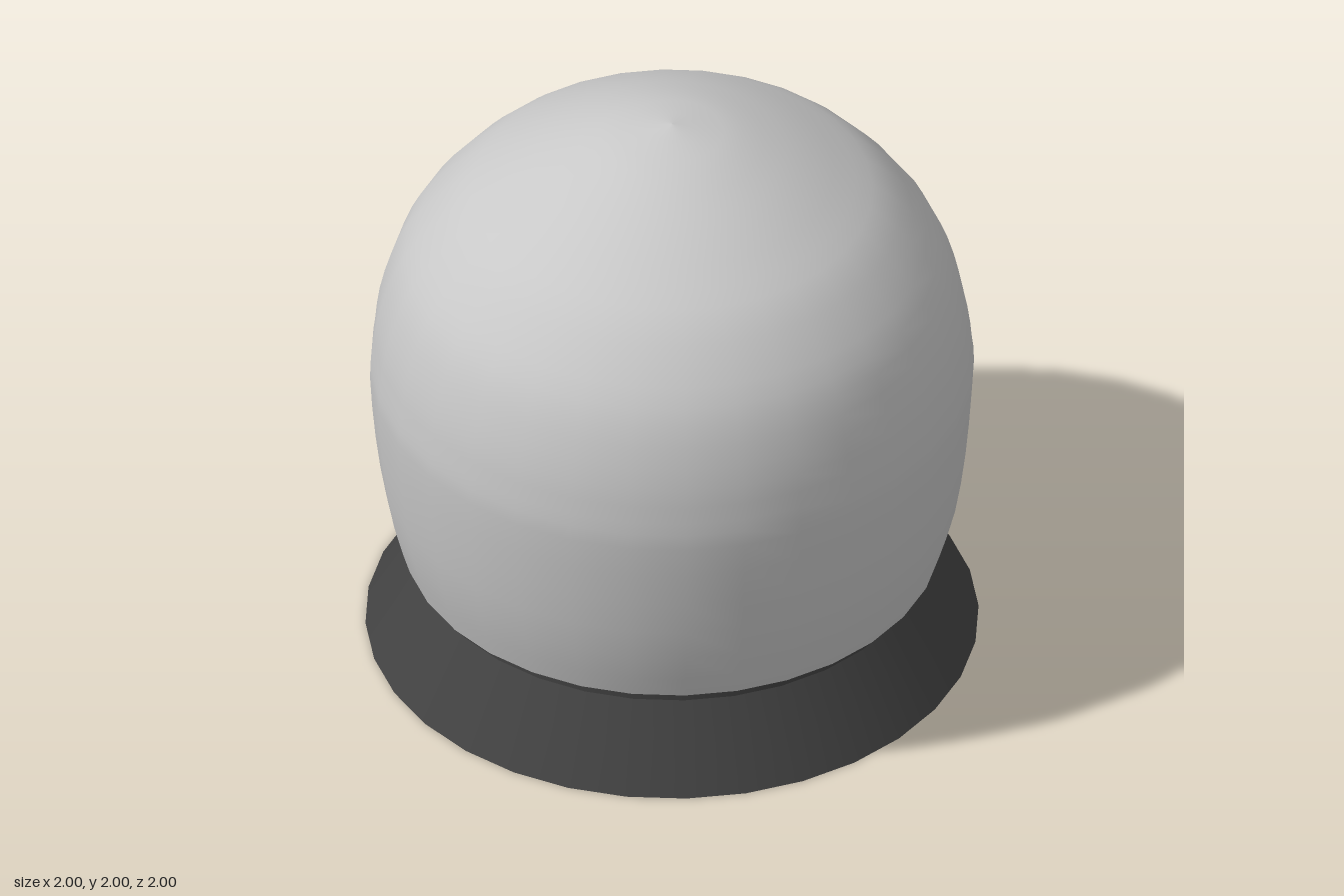
import * as THREE from 'three';

const SEGMENTS = 32;
const v = (x, y) => new THREE.Vector2(x, y);

export function createModel() {
  const group = new THREE.Group();

  const shellGrey = new THREE.MeshStandardMaterial({ color: 0xc8c8c8, side: THREE.DoubleSide });
  shellGrey.name = 'light grey shell';
  const baseGrey = new THREE.MeshStandardMaterial({ color: 0x424242, side: THREE.DoubleSide });
  baseGrey.name = 'dark grey base';

  const add = (name, geometry, material) => {
    const mesh = new THREE.Mesh(geometry, material);
    mesh.name = name;
    group.add(mesh);
    return mesh;
  };
  const lathe = (points) => new THREE.LatheGeometry(points, SEGMENTS);

  // Bulbous dome with a slightly pointed crown, open at the lower rim
  const profile = new THREE.SplineCurve([
    v(0.88, 0.33), v(0.932, 0.52), v(0.967, 0.76), v(0.985, 1.0),
    v(0.978, 1.1), v(0.963, 1.225), v(0.925, 1.37), v(0.872, 1.49),
    v(0.79, 1.6), v(0.7, 1.695), v(0.6, 1.765), v(0.45, 1.855),
    v(0.3, 1.925), v(0.17, 1.97), v(0, 2),
  ]);
  const points = profile.getPoints(28);
  points[points.length - 1].set(0, 2);
  add('dome', lathe(points), shellGrey);

  // Flared base and the short collar that enters the dome
  add('baseFlare', lathe([v(1, 0), v(0.84, 0.28)]), baseGrey);
  add('baseCollar', lathe([v(0.84, 0.28), v(0.84, 0.36)]), baseGrey);

  // Flat underside of the base
  add('baseUnderside', lathe([v(0, 0), v(1, 0)]), baseGrey);

  return group;
}
